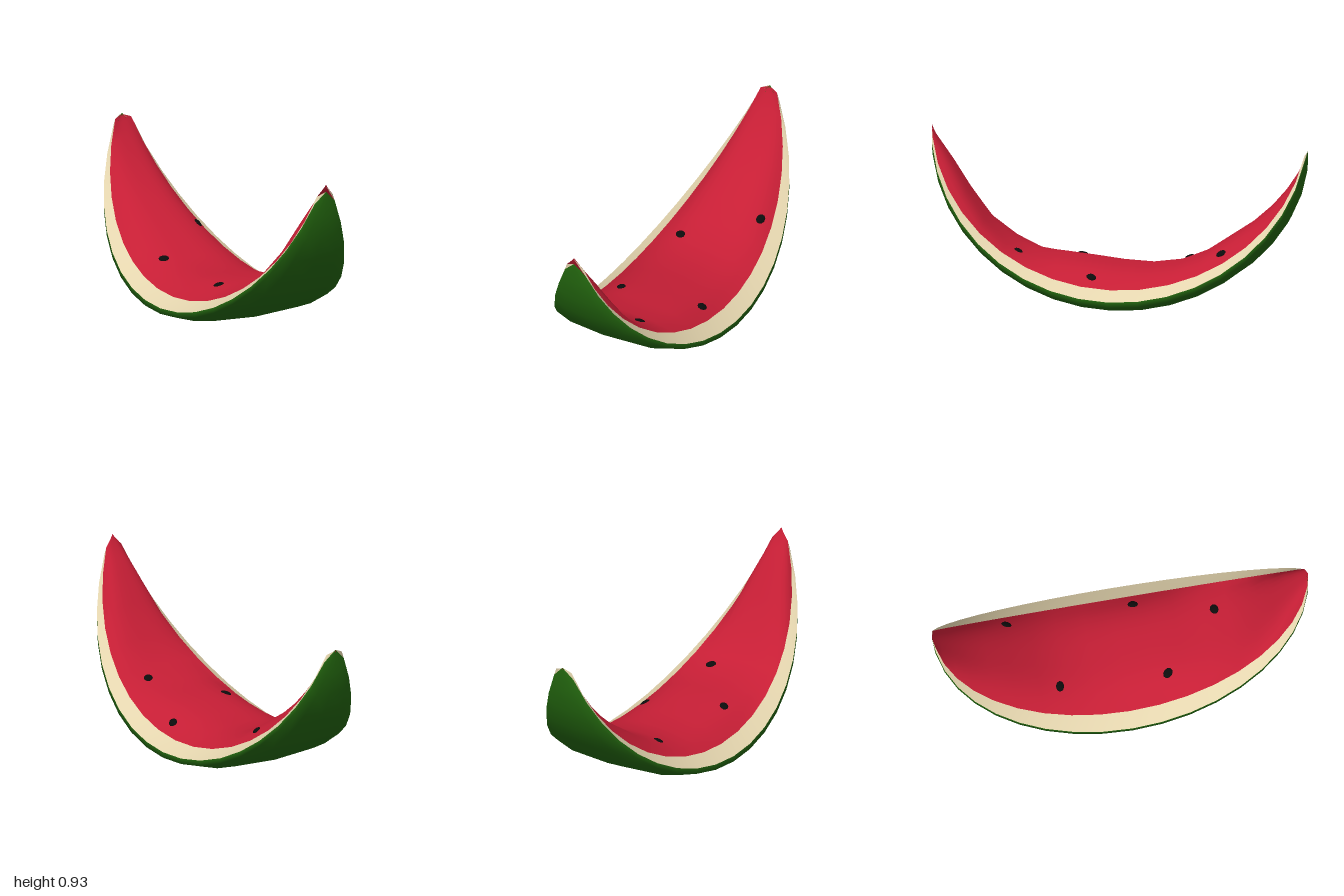
import * as THREE from 'three';

const SEG = 20; // rings from the back tip to the front tip
const TILT = 0.02;
// Height of the bitten flesh along its middle, back tip to front tip
const FLESH_TOP = [0.84, 0.8, 0.735, 0.645, 0.55, 0.46, 0.38, 0.29, 0.23, 0.21, 0.22,
  0.24, 0.255, 0.265, 0.318, 0.44, 0.6, 0.74, 0.83, 0.885, 0.93];

const angle = (i) => (i / SEG - 0.5) * Math.PI;

// One lengthwise line: half width x, height y at the middle, rise to the tips, tip heights
function line(x, y, rise, backTip, frontTip) {
  return (i) => {
    const c = Math.cos(angle(i)), z = Math.sin(angle(i));
    if (i <= 0) return new THREE.Vector3(0, backTip, -1);
    if (i >= SEG) return new THREE.Vector3(0, frontTip, 1);
    return new THREE.Vector3(x * c, y + rise * (1 - c) + TILT * z, z);
  };
}

const skinLine = (x, y, rise = 0.87) => line(x, y, rise, 0.85, 0.89);
const rimLine = (x) => skinLine(x, 0.08, 0.865);
const fleshEdge = (x) => line(x, 0.13, 0.85, 0.845, 0.92);

// Point on the flesh: s runs from -1 to 1 across, i along the rings
function fleshPoint(s, i) {
  const p = fleshEdge(0.315 * s)(i);
  const k = Math.min(Math.floor(i), SEG - 1);
  const top = THREE.MathUtils.lerp(FLESH_TOP[k], FLESH_TOP[k + 1], i - k);
  p.y += (top - p.y) * (1 - Math.abs(s) ** 3);
  return p;
}

// Smooth surface through a row of lengthwise lines
function strip(name, lines, material) {
  const n = lines.length, pos = [], index = [];
  for (let i = 0; i <= SEG; i++) for (const l of lines) pos.push(...l(i).toArray());
  for (let i = 0; i < SEG; i++) {
    for (let j = 0; j < n - 1; j++) {
      const a = i * n + j, b = a + n;
      if (i < SEG - 1) index.push(a, b, b + 1);
      else index.push(a, b, a + 1);
      if (i > 0 && i < SEG - 1) index.push(a, b + 1, a + 1);
    }
  }
  const geo = new THREE.BufferGeometry();
  geo.setAttribute('position', new THREE.Float32BufferAttribute(pos, 3));
  geo.setIndex(index);
  geo.computeVertexNormals();
  const mesh = new THREE.Mesh(geo, material);
  mesh.name = name;
  return mesh;
}

export function createModel() {
  const group = new THREE.Group();
  group.name = 'melonSlice';
  const mat = (color) => new THREE.MeshStandardMaterial({ color, side: THREE.DoubleSide });
  const green = mat(0x256b10), cream = mat(0xe4d5ae), red = mat(0xc61e35), black = mat(0x0c0c0c);

  // Green skin, wrapped under the slice
  group.add(strip('skin', [
    rimLine(0.395), skinLine(0.395, 0.05), skinLine(0.28, 0.015), skinLine(0, 0),
    skinLine(-0.28, 0.015), skinLine(-0.395, 0.05), rimLine(-0.395),
  ], green));

  // Pale rind on both sides
  group.add(strip('leftRind', [fleshEdge(0.315), rimLine(0.395)], cream));
  group.add(strip('rightRind', [rimLine(-0.395), fleshEdge(-0.315)], cream));

  // Bitten red flesh
  const across = [];
  for (let j = -6; j <= 6; j++) across.push((i) => fleshPoint(j / 6, i));
  group.add(strip('flesh', across, red));

  // Seeds half sunk into the flesh
  const seedGeo = new THREE.SphereGeometry(1, 10, 8);
  const seeds = [[0.2, -0.57], [-0.155, -0.345], [0.25, 0.11], [-0.175, 0.225], [0.115, 0.52]];
  seeds.forEach(([x, z], k) => {
    const i = (Math.asin(z) / Math.PI + 0.5) * SEG;
    const s = x / (0.315 * Math.sqrt(1 - z * z));
    const p = fleshPoint(s, i);
    const along = fleshPoint(s, i + 0.1).sub(p);
    const normal = along.cross(fleshPoint(s + 0.02, i).sub(p)).normalize();
    const seed = new THREE.Mesh(seedGeo, black);
    seed.name = 'seed' + (k + 1);
    seed.scale.set(0.023, 0.009, 0.029);
    seed.position.copy(p);
    seed.quaternion.setFromUnitVectors(new THREE.Vector3(0, 1, 0), normal);
    seed.rotateY(k * 1.3);
    group.add(seed);
  });
  return group;
}
